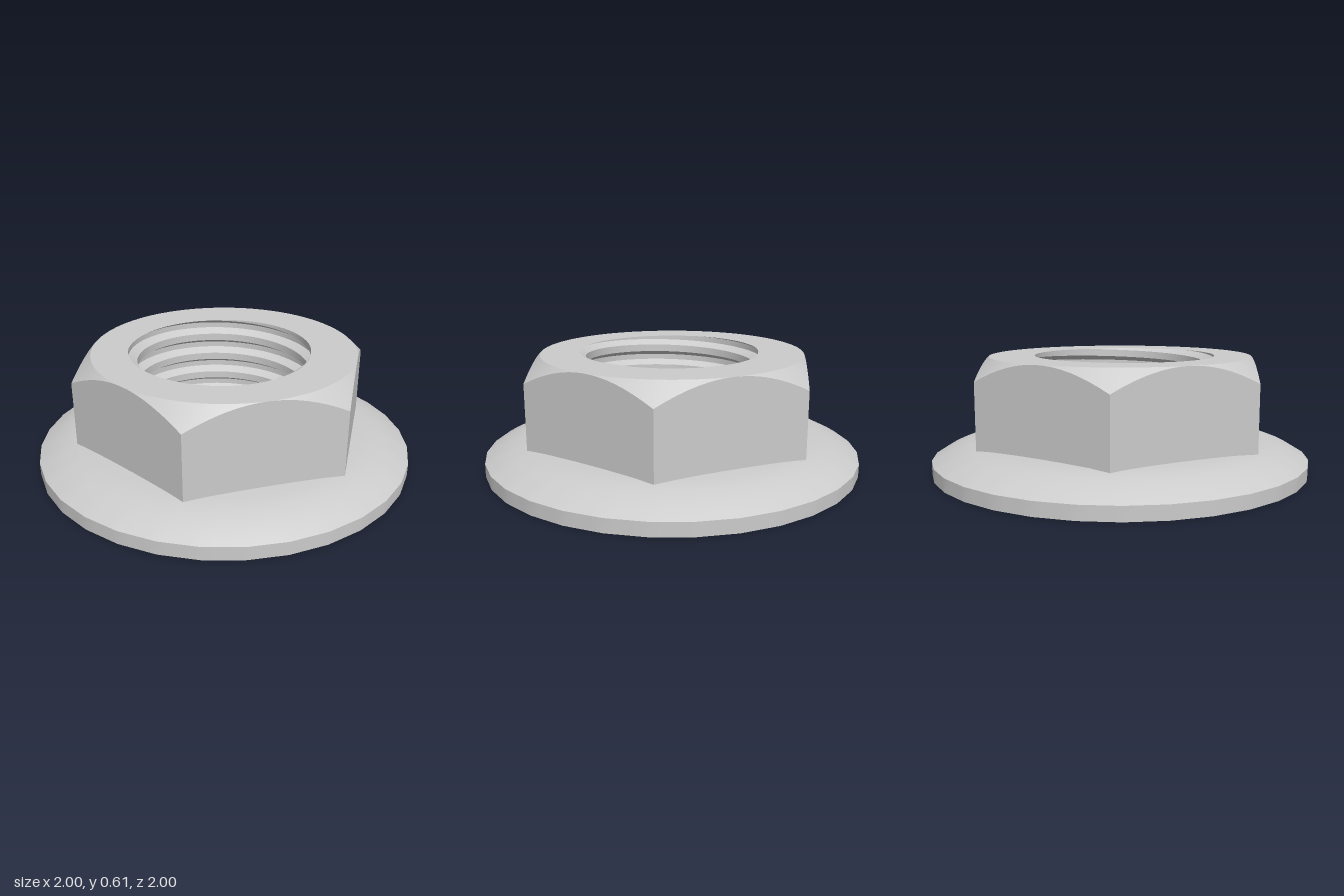
import * as THREE from 'three';
import { toCreasedNormals } from 'three/addons/utils/BufferGeometryUtils.js';

const SEG = 96;
const TOP = 0.605, FLAT = 0.693;              // nut height, half width across flats
const MINOR = 0.455, MAJOR = 0.5;             // thread radii
const PITCH = 0.12, THREAD_START = 0.13;
const CREST = 0.165, ROOT = 0.375;            // thread profile limits, in pitches from crest centre

// Radius factor of a regular n-sided outline with a corner at angle 0 (1 at mid side)
const polygon = (a, n) => {
  const step = (2 * Math.PI) / n;
  return 1 / Math.cos((a % step) - step / 2);
};
const hexR = a => FLAT * polygon(a, 6);
const rimR = (a, r) => r * Math.cos(Math.PI / 32) * polygon(a, 32);

// Thread radius at angle a and height y (right-handed helix)
function threadR(a, y) {
  const t = (y - TOP) / PITCH - a / (2 * Math.PI) + 1 / 12;
  const d = Math.abs(t - Math.round(t));
  return MINOR + (MAJOR - MINOR) * THREE.MathUtils.clamp((d - CREST) / (ROOT - CREST), 0, 1);
}

// Skins a list of rings; each ring maps an angle to [radius, height]
function skin(name, rings, material) {
  const pos = [];
  const point = (ring, i) => {
    const a = ((i % SEG) / SEG) * 2 * Math.PI + 1e-9;
    const [r, y] = ring(a, i / SEG);
    return new THREE.Vector3(r * Math.cos(a), y, -r * Math.sin(a));
  };
  const tri = (a, b, c) => {
    const area = b.clone().sub(a).cross(c.clone().sub(a)).length();
    if (area > 1e-9) for (const p of [a, b, c]) pos.push(p.x, p.y, p.z);
  };
  for (let j = 0; j < rings.length - 1; j++) {
    for (let i = 0; i < SEG; i++) {
      const a = point(rings[j], i), b = point(rings[j], i + 1);
      const c = point(rings[j + 1], i + 1), d = point(rings[j + 1], i);
      tri(a, b, c);
      tri(a, c, d);
    }
  }
  const geo = new THREE.BufferGeometry();
  geo.setAttribute('position', new THREE.Float32BufferAttribute(pos, 3));
  const mesh = new THREE.Mesh(toCreasedNormals(geo, 0.5), material);
  mesh.name = name;
  return mesh;
}

export function createModel() {
  const group = new THREE.Group();
  group.name = 'flangeNut';
  const metal = new THREE.MeshStandardMaterial({ color: 0xcccccc });

  // Flange: underside, rim and domed top
  const flangeProfile = [
    [1, 0], [1, 0.07], [0.95, 0.1], [0.9, 0.124], [0.85, 0.143],
    [0.8, 0.156], [0.75, 0.163], [0.65, 0.17],
  ];
  group.add(skin('flange', [
    () => [MAJOR, 0],
    ...flangeProfile.map(([r, y]) => a => [rimR(a, r), y]),
  ], metal));

  // Hexagonal body: flats, conical corner chamfer, top face
  group.add(skin('hexBody', [
    a => [hexR(a), 0.14],
    a => [hexR(a), TOP - (hexR(a) - FLAT) * 0.98],
    () => [FLAT, TOP],
    a => [threadR(a, TOP), TOP],
  ], metal));

  // Thread: rings follow the helix and are clipped to the threaded length
  const thread = [];
  const turns = Math.ceil((TOP - THREAD_START) / PITCH) + 1;
  for (let k = 1; k >= -turns - 1; k--) {
    for (const t of [ROOT, CREST, -CREST, -ROOT]) {
      thread.push((a, turn) => {
        const y = THREE.MathUtils.clamp(TOP + (k + t + turn - 1 / 12) * PITCH, THREAD_START, TOP);
        return [threadR(a, y), y];
      });
    }
  }
  group.add(skin('thread', thread, metal));

  // Plain bore below the thread, with the ledge where the thread starts
  group.add(skin('plainBore', [
    a => [threadR(a, THREAD_START), THREAD_START],
    () => [MAJOR, THREAD_START],
    () => [MAJOR, 0],
  ], metal));

  return group;
}
